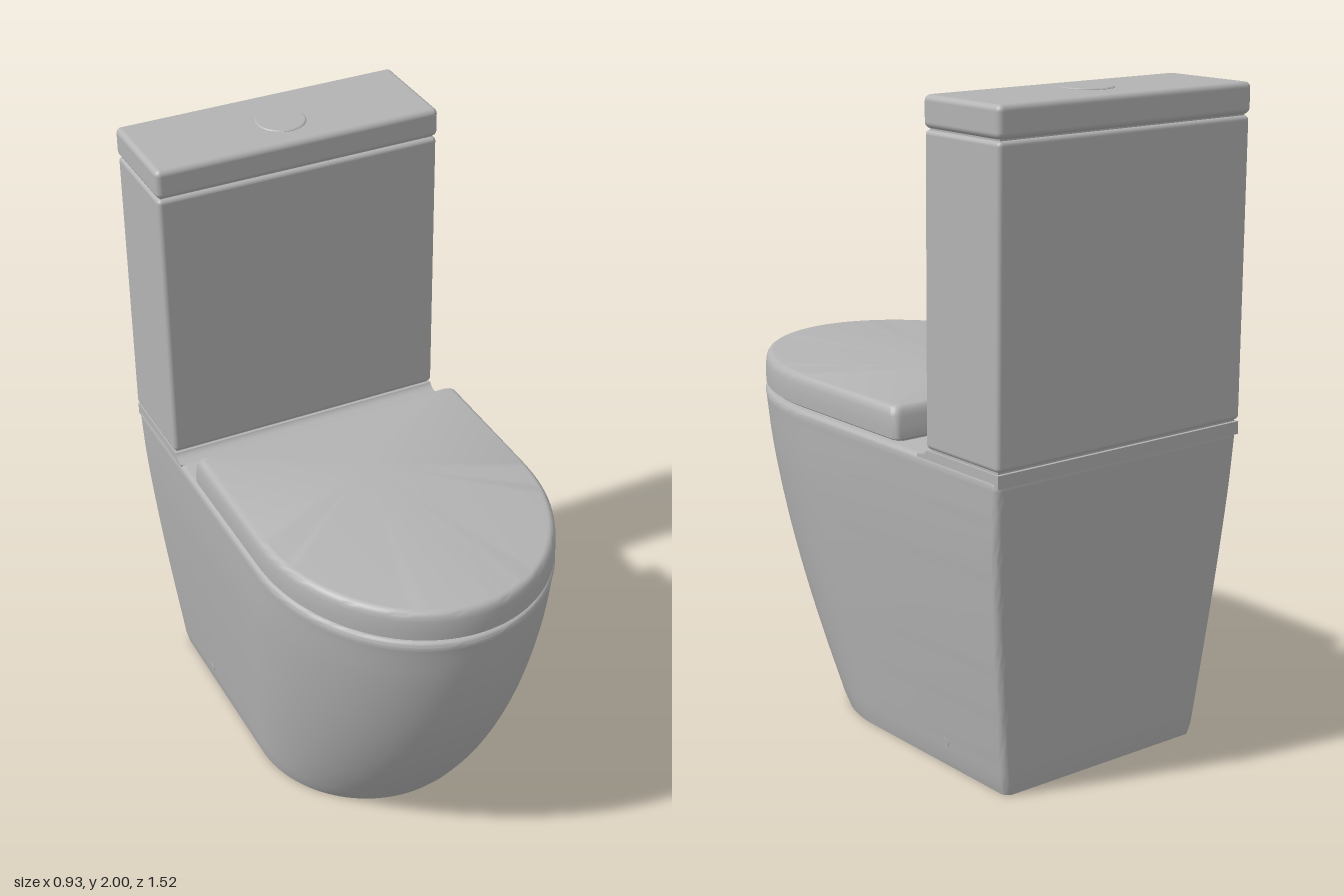
import * as THREE from 'three';
import { toCreasedNormals } from 'three/addons/utils/BufferGeometryUtils.js';
import { RoundedBoxGeometry } from 'three/addons/geometries/RoundedBoxGeometry.js';

const ceramic = new THREE.MeshStandardMaterial({ color: 0xb3b3b3 });
ceramic.name = 'grey ceramic';

// D-shaped ring: elliptical front, straight sides, rounded back corners
function ring({ y, w, back, front, mid, inset = 0, r = 0.025 }) {
  w -= inset; back += inset; front -= inset;
  const pts = [], N = 56, C = 5;
  for (let i = 0; i <= N; i++) {
    const t = (i / N) * Math.PI;
    pts.push([w * Math.cos(t), y, mid + (front - mid) * Math.sin(t)]);
  }
  for (const side of [-1, 1]) {
    for (let i = 0; i <= C; i++) {
      const t = ((side < 0 ? i : C - i) / C) * Math.PI / 2;
      pts.push([side * (w - r + r * Math.cos(t)), y, back + r - r * Math.sin(t)]);
    }
  }
  return pts;
}

// Skin a stack of rings from bottom to top and cap both ends
function loft(sections) {
  const rings = sections.map(ring), n = rings[0].length;
  const pos = rings.flat(2), idx = [];
  for (let j = 0; j < rings.length - 1; j++) {
    for (let i = 0; i < n; i++) {
      const a = j * n + i, b = j * n + (i + 1) % n;
      idx.push(a, a + n, b, b, a + n, b + n);
    }
  }
  const last = (rings.length - 1) * n, low = rings.length * n, high = low + 1;
  pos.push(0, sections[0].y, 0, 0, sections[sections.length - 1].y, 0);
  for (let i = 0; i < n; i++) {
    const k = (i + 1) % n;
    idx.push(low, i, k, high, last + k, last + i);
  }
  const g = new THREE.BufferGeometry();
  g.setAttribute('position', new THREE.Float32BufferAttribute(pos, 3));
  g.setIndex(idx);
  return toCreasedNormals(g, 0.7);
}

export function createModel() {
  const model = new THREE.Group();
  const add = (name, geometry, x = 0, y = 0, z = 0) => {
    const mesh = new THREE.Mesh(geometry, ceramic);
    mesh.name = name;
    mesh.position.set(x, y, z);
    model.add(mesh);
    return mesh;
  };

  // Pan: half width, height and front edge follow one curve
  const curve = new THREE.CatmullRomCurve3([
    [0.37, 0, 0.36], [0.394, 0.2, 0.5], [0.417, 0.4, 0.61],
    [0.437, 0.6, 0.69], [0.453, 0.8, 0.74], [0.46, 0.975, 0.76],
  ].map(p => new THREE.Vector3(...p)));
  const panAt = (p, inset = 0) => ({
    y: p.y, w: p.x, front: p.z, inset,
    back: -0.69 - 0.067 * p.y, mid: -0.03 + 0.235 * p.y,
  });
  const pan = curve.getPoints(28).slice(0, -1).map(p => panAt(p));
  pan[0].inset = 0.004;
  for (const [y, inset] of [[0.962, 0], [0.969, 0.003], [0.974, 0.008], [0.976, 0.016]]) {
    pan.push(panAt(new THREE.Vector3(0.46, y, 0.76), inset));
  }
  add('pan', loft(pan));

  // Raised deck under the cistern, with a fillet at its front
  const deck = new THREE.Shape();
  deck.moveTo(0.755, 0.955);
  deck.lineTo(0.755, 0.994);
  deck.lineTo(0.435, 0.994);
  deck.quadraticCurveTo(0.425, 0.976, 0.39, 0.976);
  deck.lineTo(0.39, 0.955);
  const deckGeo = new THREE.ExtrudeGeometry(deck, { depth: 0.916, bevelEnabled: false, curveSegments: 8 });
  deckGeo.rotateY(Math.PI / 2);
  deckGeo.translate(-0.458, 0, 0);
  add('cisternDeck', deckGeo);

  // Thin recessed spacer and the closed seat lid
  const seat = { w: 0.456, back: -0.29, front: 0.76, mid: 0.2 };
  add('seatSpacer', loft([0.972, 0.99].map(y => ({ ...seat, y, inset: 0.025 }))));
  add('seatLid', loft([
    [0.985, 0.008, 0], [0.99, 0.001, 0], [1.02, 0, 0.002], [1.055, 0.002, 0.008],
    [1.07, 0.005, 0.01], [1.079, 0.011, 0.011], [1.084, 0.019, 0.011], [1.085, 0.026, 0.011],
  ].map(([y, inset, slant]) => ({ ...seat, y, inset, back: seat.back + slant }))));

  // Cistern, its lid and the flush button
  add('cisternGap', new THREE.BoxGeometry(0.9, 0.93, 0.3), 0, 1.45, -0.595);
  add('cistern', new RoundedBoxGeometry(0.922, 0.899, 0.326, 4, 0.014), 0, 1.4495, -0.595);
  add('cisternLid', new RoundedBoxGeometry(0.928, 0.092, 0.332, 4, 0.018), 0, 1.949, -0.595);
  const button = [[0, -0.01], [0.078, -0.01], [0.078, 0.001], [0.074, 0.004], [0, 0.005]];
  add('flushButton', toCreasedNormals(
    new THREE.LatheGeometry(button.map(p => new THREE.Vector2(...p)), 48), 0.5), 0, 1.995, -0.575);

  // Fixing caps low on both sides
  for (const s of [-1, 1]) {
    const cap = add(s > 0 ? 'leftFixingCap' : 'rightFixingCap',
      new THREE.CylinderGeometry(0.016, 0.016, 0.012, 24), s * 0.375, 0.078, -0.418);
    cap.rotation.z = -s * (Math.PI / 2 + 0.12);
  }
  return model;
}
